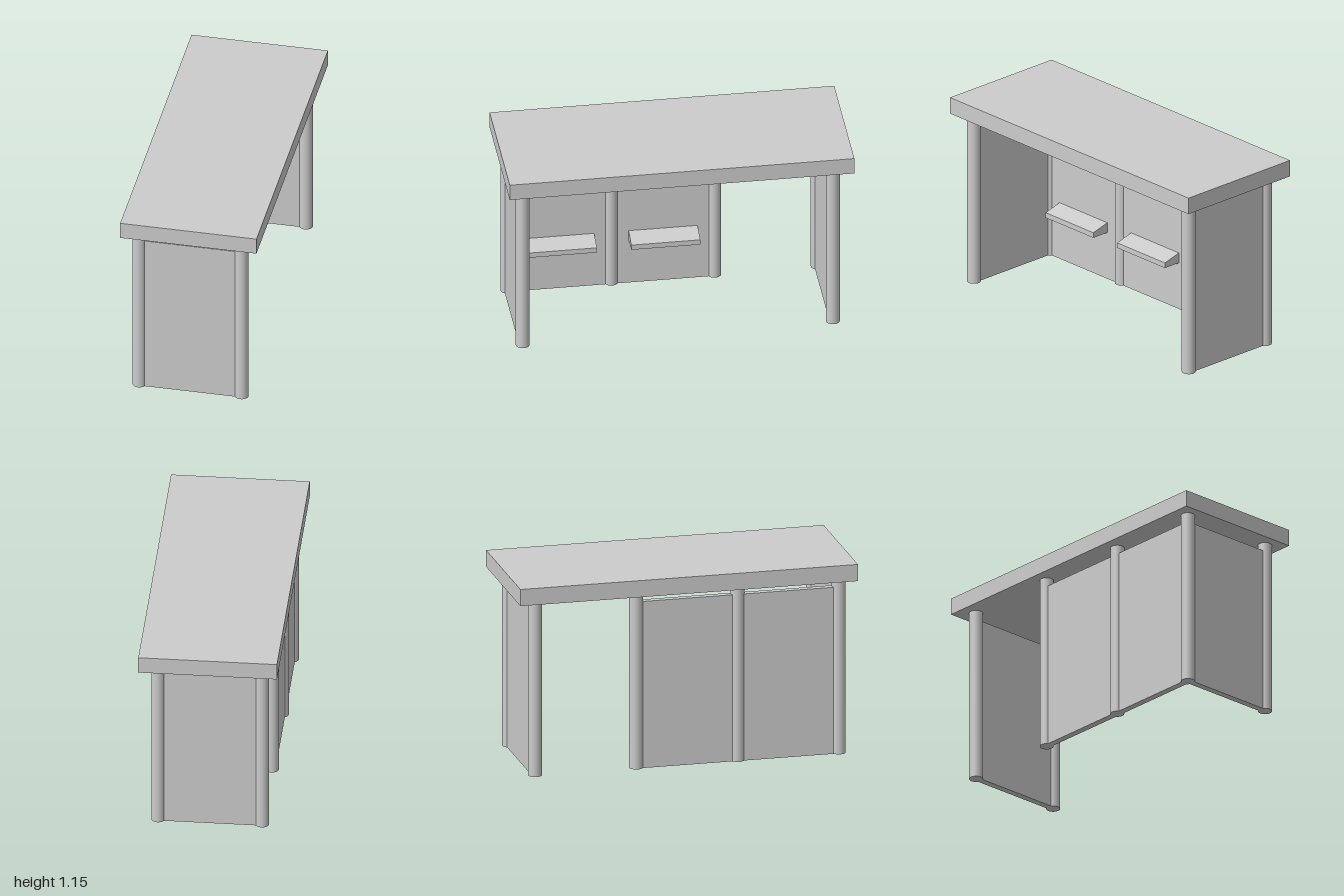
import * as THREE from 'three';

const LEFT = 0.295, RIGHT = -0.305;          // post rows in x
const BAYS = [0.91, 0.31, -0.29, -0.89];     // post stations in z
const POST_H = 1.05, WALL_H = 1, WALL_T = 0.04;

export function createModel() {
  const group = new THREE.Group();
  const material = new THREE.MeshStandardMaterial({ color: 0xcccccc });

  const add = (name, geometry, x, y, z) => {
    const mesh = new THREE.Mesh(geometry, material);
    mesh.name = name;
    mesh.position.set(x, y, z);
    group.add(mesh);
    return mesh;
  };

  // Flat slab roof
  add('roof', new THREE.BoxGeometry(0.8, 0.1, 2), 0, 1.1, 0);

  // Round posts: four along the walled side, two at the open side's corners
  const postGeometry = new THREE.CylinderGeometry(0.04, 0.04, POST_H, 32);
  for (const z of BAYS) add('post', postGeometry, RIGHT, POST_H / 2, z);
  for (const z of [BAYS[0], BAYS[3]]) add('post', postGeometry, LEFT, POST_H / 2, z);

  // End walls between the corner posts
  const endWall = new THREE.BoxGeometry(LEFT - RIGHT, WALL_H, WALL_T);
  add('frontWall', endWall, (LEFT + RIGHT) / 2, WALL_H / 2, BAYS[0]);
  add('backWall', endWall, (LEFT + RIGHT) / 2, WALL_H / 2, BAYS[3]);

  // Bench: wedge profile with a sloping seat, extruded along the wall
  const profile = new THREE.Shape([
    new THREE.Vector2(-0.29, 0.288),
    new THREE.Vector2(-0.175, 0.288),
    new THREE.Vector2(-0.175, 0.32),
    new THREE.Vector2(-0.285, 0.35),
    new THREE.Vector2(-0.29, 0.35),
  ]);
  const benchGeometry = new THREE.ExtrudeGeometry(profile, { depth: 0.4, bevelEnabled: false });

  // Two walled bays, each with a bench; the last bay stays open as the doorway
  for (let i = 0; i < 2; i++) {
    const length = BAYS[i] - BAYS[i + 1], mid = (BAYS[i] + BAYS[i + 1]) / 2;
    add('sideWall', new THREE.BoxGeometry(WALL_T, WALL_H, length), RIGHT, WALL_H / 2, mid);
    add('bench', benchGeometry, 0, 0, mid - 0.2);
  }

  return group;
}
